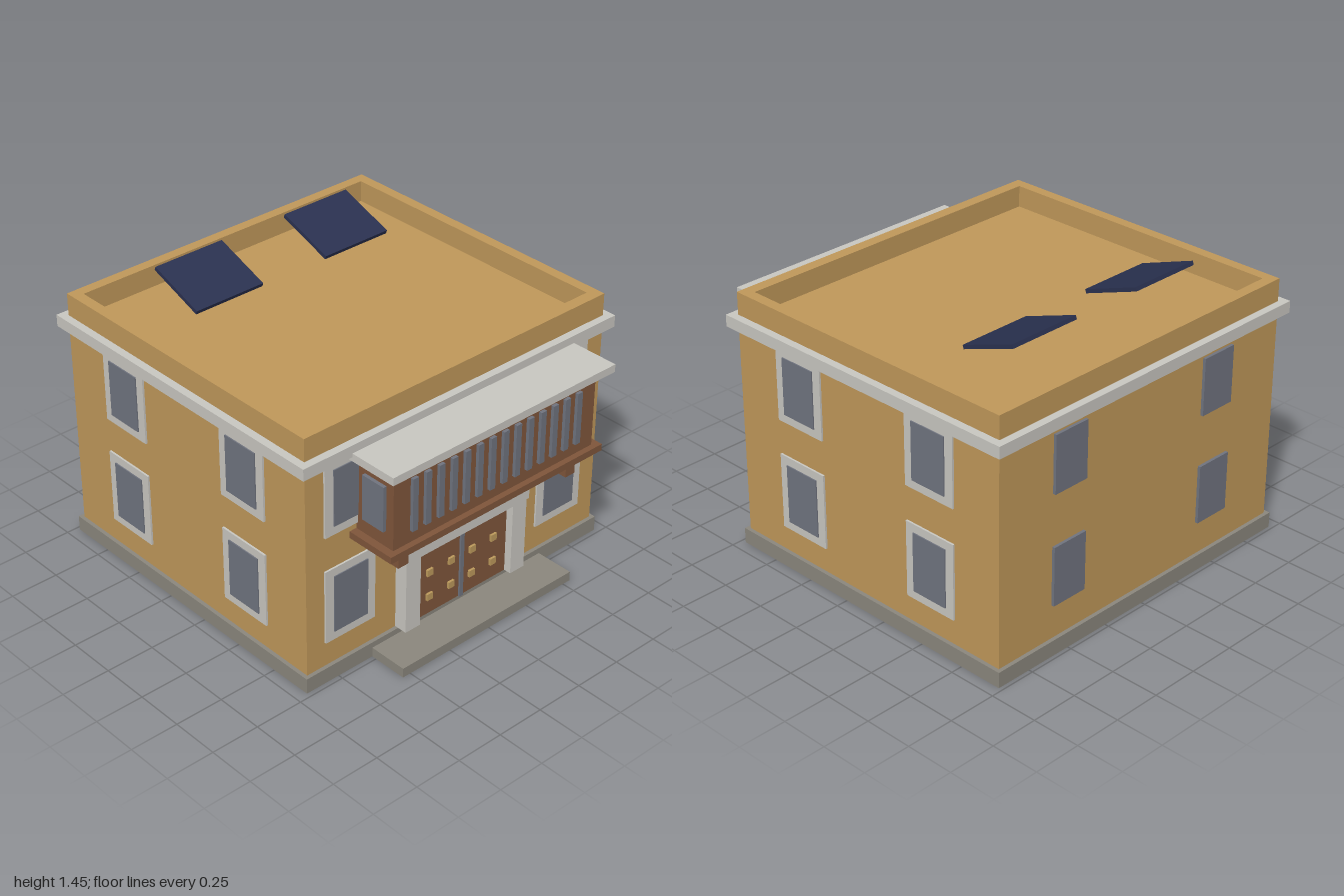
import * as THREE from 'three';

const mat = (name, color) => {
  const m = new THREE.MeshStandardMaterial({ color });
  m.name = name;
  return m;
};

export function createModel() {
  const sand = mat('sandPlaster', 0xc0985a);
  const stone = mat('paleStone', 0xc9c7c1);
  const grey = mat('baseGrey', 0x8b877d);
  const wood = mat('brownWood', 0x80563b);
  const glass = mat('slateGlass', 0x70747f);
  const navy = mat('solarNavy', 0x2a3150);
  const brass = mat('brass', 0xbd9a5c);

  const model = new THREE.Group();
  model.name = 'house';

  // Box given by its limits on each axis
  const box = (name, m, x0, x1, y0, y1, z0, z1) => {
    const mesh = new THREE.Mesh(new THREE.BoxGeometry(x1 - x0, y1 - y0, z1 - z0), m);
    mesh.position.set((x0 + x1) / 2, (y0 + y1) / 2, (z0 + z1) / 2);
    mesh.name = name;
    model.add(mesh);
    return mesh;
  };
  // The same box on both sides of x = 0
  const pair = (name, m, x0, x1, ...rest) => {
    box(name + 'Left', m, x0, x1, ...rest);
    box(name + 'Right', m, -x1, -x0, ...rest);
  };

  const W = 0.92, back = -0.96, front = 0.705;

  // Plinth, entrance step, walls and cornice
  box('plinth', grey, -0.94, 0.94, 0, 0.08, -0.98, 0.725);
  box('entranceStep', grey, -0.545, 0.545, 0, 0.05, 0.725, 0.93);
  box('walls', sand, -W, W, 0.08, 1.16, back, front);
  box('cornice', stone, -0.96, 0.96, 1.16, 1.22, -1, 0.745);

  // Parapet ring and roof deck
  box('roofDeck', sand, -0.87, 0.87, 1.215, 1.224, -0.91, 0.65);
  pair('parapetSide', sand, 0.865, W, 1.22, 1.335, back, front);
  box('parapetFront', sand, -0.865, 0.865, 1.22, 1.335, 0.645, front);
  box('parapetBack', sand, -0.865, 0.865, 1.22, 1.335, back, -0.905);

  // Windows on both floors: framed on the front and sides, bare glass at the back
  for (const [floor, y0, y1] of [['lower', 0.21, 0.6], ['upper', 0.78, 1.16]]) {
    const g0 = y0 + 0.045, g1 = y1 - 0.042;
    pair(floor + 'FrontFrame', stone, 0.52, 0.815, y0, y1, front, 0.715);
    pair(floor + 'FrontGlass', glass, 0.567, 0.767, g0, g1, 0.715, 0.72);
    pair(floor + 'BackGlass', glass, 0.39, 0.59, g0, g1, -0.975, back);
    for (const z of [0.293, -0.545]) {
      pair(floor + 'SideFrame', stone, W, 0.93, y0, y1, z - 0.147, z + 0.147);
      pair(floor + 'SideGlass', glass, 0.93, 0.936, g0, g1, z - 0.1, z + 0.1);
    }
  }

  // Entrance: surround, double door, centre strip and studs
  pair('doorPost', stone, 0.295, 0.385, 0.08, 0.475, front, 0.775);
  box('doorLintel', stone, -0.39, 0.39, 0.475, 0.56, front, 0.785);
  pair('doorLeaf', wood, 0.01, 0.295, 0.08, 0.475, front, 0.735);
  box('doorStrip', glass, -0.011, 0.011, 0.08, 0.475, front, 0.745);
  for (const x of [0.067, 0.205])
    for (const y of [0.18, 0.317])
      pair('doorStud', brass, x - 0.018, x + 0.018, y - 0.018, y + 0.018, 0.735, 0.747);

  // Enclosed balcony with floor, canopy, brackets and side windows
  box('balconyBody', wood, -0.625, 0.625, 0.745, 1.14, front, 0.94);
  box('balconyFloor', wood, -0.665, 0.665, 0.71, 0.745, front, 0.97);
  box('balconyCanopy', stone, -0.685, 0.685, 1.14, 1.18, front, 1);
  pair('balconyBracket', wood, 0.5, 0.56, 0.6, 0.705, front, 0.905);
  pair('balconySideGlass', glass, 0.625, 0.643, 0.828, 1.06, 0.76, 0.895);
  for (let i = 0; i < 14; i++) {
    const x = (i - 6.5) * 0.0785;
    box('balconySlat', glass, x - 0.016, x + 0.016, 0.807, 1.08, 0.94, 0.957);
  }

  // Tilted solar panels
  for (const s of [-1, 1]) {
    const panel = box('solarPanel', navy, -0.197, 0.197, -0.01, 0.01, -0.159, 0.159);
    panel.position.set(s * 0.392, 1.389, -0.567);
    panel.rotation.x = 0.35;
  }

  return model;
}
